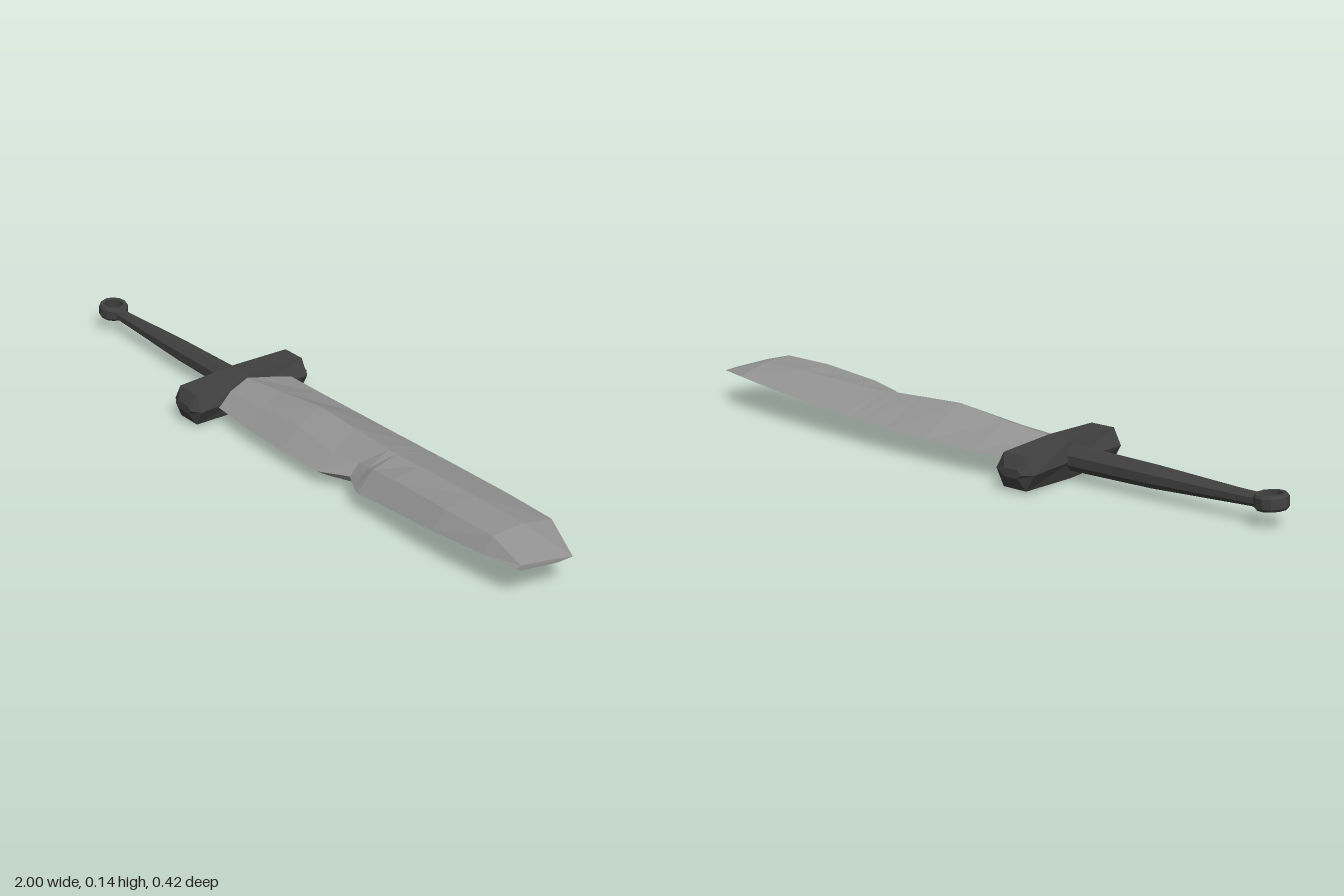
import * as THREE from 'three';

const steel = new THREE.MeshStandardMaterial({ color: 0x939393, flatShading: true });
steel.name = 'steel';
const darkIron = new THREE.MeshStandardMaterial({ color: 0x404040, flatShading: true });
darkIron.name = 'dark iron';

// Skin a list of equal-length rings of [x, y, z] points, with fan caps at both ends.
function loft(rings) {
  const n = rings[0].length, pos = [];
  const tri = (a, b, c) => pos.push(...a, ...b, ...c);
  for (let i = 0; i < rings.length - 1; i++) {
    for (let j = 0; j < n; j++) {
      const k = (j + 1) % n, a = rings[i], b = rings[i + 1];
      tri(a[j], b[j], b[k]);
      tri(a[j], b[k], a[k]);
    }
  }
  const first = rings[0], last = rings[rings.length - 1];
  for (let j = 1; j < n - 1; j++) {
    tri(first[0], first[j], first[j + 1]);
    tri(last[0], last[j + 1], last[j]);
  }
  const g = new THREE.BufferGeometry();
  g.setAttribute('position', new THREE.Float32BufferAttribute(pos, 3));
  g.computeVertexNormals();
  return g;
}

function addPart(group, name, geometry, material) {
  const mesh = new THREE.Mesh(geometry, material);
  mesh.name = name;
  group.add(mesh);
  return mesh;
}

// Twisted, chipped blade: front edge, upper bevel, ridge, back edge, lower ridge
function makeBlade() {
  // x, edge z, edge y, bevel z, bevel y, ridge z, ridge y, back z, back y, keel z, keel y
  const stations = [
    [-0.26, 0.125, 0.055, 0.08, 0.085, 0.01, 0.105, -0.137, 0.07, 0.01, 0.015],
    [-0.10, 0.138, 0.052, 0.08, 0.095, 0.01, 0.122, -0.14, 0.068, 0.01, 0.016],
    [0.07, 0.142, 0.05, 0.08, 0.105, 0.01, 0.144, -0.14, 0.07, 0.01, 0.018],
    [0.22, 0.14, 0.05, 0.085, 0.085, 0.01, 0.138, -0.138, 0.073, 0.01, 0.019],
    [0.31, 0.102, 0.06, 0.07, 0.09, 0.01, 0.134, -0.134, 0.078, 0.01, 0.02],
    [0.36, 0.13, 0.06, 0.08, 0.10, 0.01, 0.131, -0.131, 0.08, 0.01, 0.02],
    [0.39, 0.145, 0.06, 0.09, 0.11, 0.01, 0.13, -0.13, 0.082, 0.01, 0.021],
    [0.48, 0.147, 0.07, 0.10, 0.124, 0.01, 0.132, -0.125, 0.087, 0.01, 0.03],
    [0.69, 0.155, 0.09, 0.115, 0.138, 0.01, 0.137, -0.11, 0.10, 0.01, 0.048],
    [0.86, 0.143, 0.098, 0.115, 0.14, 0.01, 0.137, -0.09, 0.112, 0.01, 0.064],
  ];
  const rings = stations.map(([x, ez, ey, vz, vy, rz, ry, bz, by, kz, ky]) => [
    [x, ey, ez], [x, vy, vz], [x, ry, rz], [x, by, bz], [x, ky, kz], [x, (ey + ky) / 2 - 0.008, ez * 0.75],
  ]);
  // Slanted chisel tip
  rings.push([
    [0.965, 0.102, 0.132], [0.967, 0.11, 0.122], [0.99, 0.102, 0.02],
    [1, 0.096, -0.022], [0.99, 0.09, 0.02], [0.967, 0.096, 0.122],
  ]);
  return loft(rings);
}

// Crossguard: hexagonal bar along z, flared towards bevelled ends
function makeGuard() {
  const cx = -0.293, cy = 0.06;
  const sections = [ // z, outer half width, top half width, half height
    [-0.209, 0.036, 0.022, 0.012],
    [-0.19, 0.063, 0.038, 0.047],
    [0, 0.053, 0.036, 0.055],
    [0.19, 0.063, 0.038, 0.047],
    [0.209, 0.036, 0.022, 0.012],
  ];
  return loft(sections.map(([z, w, t, h]) => [
    [cx + w, cy, z], [cx + t, cy - h, z], [cx - t, cy - h, z],
    [cx - w, cy, z], [cx - t, cy + h, z], [cx + t, cy + h, z],
  ]));
}

// Tapered eight-sided grip along x
function makeGrip() {
  const stations = [[-0.915, 0.066, 0.019], [-0.85, 0.065, 0.021], [-0.6, 0.064, 0.032], [-0.32, 0.065, 0.036]];
  return loft(stations.map(([x, y, r]) => Array.from({ length: 8 }, (_, i) => {
    const a = (i + 0.5) * Math.PI / 4;
    return [x, y + r * Math.sin(a), r * Math.cos(a)];
  })));
}

// Pommel ring: a squared band around a vertical hole
function makeRing() {
  const band = [[0.029, -0.02], [0.04, -0.02], [0.045, -0.013], [0.045, 0.013], [0.04, 0.02], [0.029, 0.02], [0.029, -0.02]];
  return new THREE.LatheGeometry(band.map(([r, y]) => new THREE.Vector2(r, y)), 12);
}

export function createModel() {
  const sword = new THREE.Group();
  sword.name = 'shortSword';
  addPart(sword, 'blade', makeBlade(), steel);
  addPart(sword, 'crossguard', makeGuard(), darkIron);
  addPart(sword, 'grip', makeGrip(), darkIron);
  const ring = addPart(sword, 'pommelRing', makeRing(), darkIron);
  ring.position.set(-0.955, 0.071, 0);
  ring.rotation.z = -0.1;
  return sword;
}
